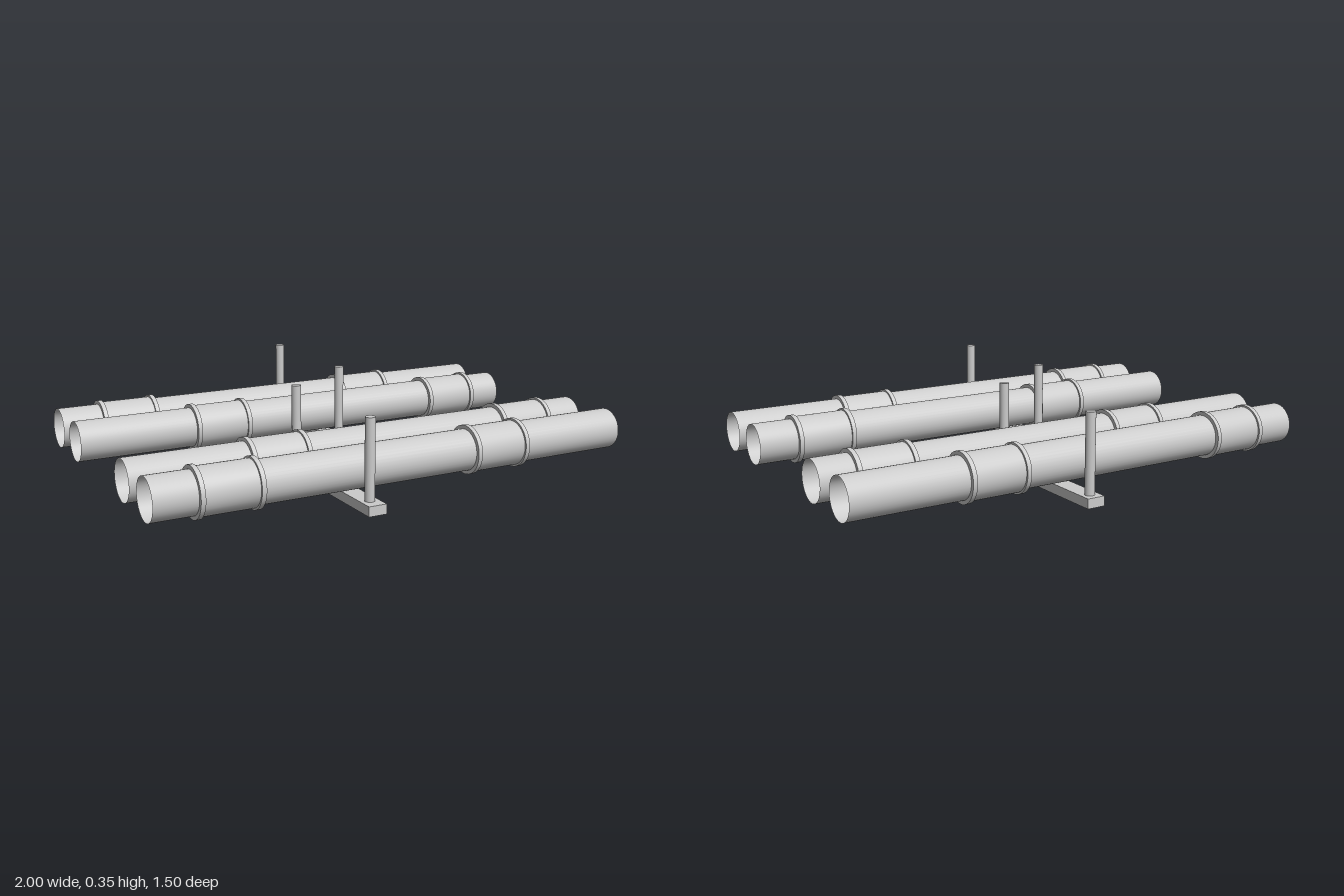
import * as THREE from 'three';
import { toCreasedNormals } from 'three/addons/utils/BufferGeometryUtils.js';

const grey = new THREE.MeshStandardMaterial({ color: 0xcccccc });
const greyThin = new THREE.MeshStandardMaterial({ color: 0xcccccc, side: THREE.DoubleSide });

const PIPE_R = 0.0815, BODY_R = 0.089, RIM_R = 0.0965;
const PIPE_Y = 0.122, SLEEVE_LEN = 0.242, RIM_W = 0.018;

function addMesh(parent, name, geometry, material, x, y, z) {
  const mesh = new THREE.Mesh(geometry, material);
  mesh.name = name;
  mesh.position.set(x, y, z);
  parent.add(mesh);
  return mesh;
}

// Coupling sleeve: a plain body with a raised rim at each end, along x
function sleeveGeometry() {
  const h = SLEEVE_LEN / 2, i = h - RIM_W;
  const profile = [
    [PIPE_R, -h], [RIM_R, -h], [RIM_R, -i], [BODY_R, -i],
    [BODY_R, i], [RIM_R, i], [RIM_R, h], [PIPE_R, h],
  ].map(([r, y]) => new THREE.Vector2(r, y));
  return toCreasedNormals(new THREE.LatheGeometry(profile, 40), 0.6).rotateZ(Math.PI / 2);
}

export function createModel() {
  const model = new THREE.Group();
  model.name = 'pipeRacks';

  // Open thin-walled pipe along x
  const pipeGeo = new THREE.CylinderGeometry(PIPE_R, PIPE_R, 2, 40, 1, true).rotateZ(Math.PI / 2);
  const sleeveGeo = sleeveGeometry();
  const beamGeo = new THREE.BoxGeometry(0.072, 0.038, 0.68);
  const postGeo = new THREE.CylinderGeometry(0.019, 0.019, 0.317, 24);

  // Each rack: beam, two posts and two pipes with two sleeves each
  const racks = [
    {
      name: 'frontRack', x: -0.217, z: 0.412, posts: [0.693, 0.115],
      pipes: [{ z: 0.545, sleeves: [-0.714, 0.414] }, { z: 0.304, sleeves: [-0.408, 0.72] }],
    },
    {
      name: 'backRack', x: 0.11, z: -0.412, posts: [-0.132, -0.711],
      pipes: [{ z: -0.282, sleeves: [-0.392, 0.737] }, { z: -0.524, sleeves: [-0.709, 0.419] }],
    },
  ];

  for (const r of racks) {
    const rack = new THREE.Group();
    rack.name = r.name;
    addMesh(rack, 'beam', beamGeo, grey, r.x, 0.019, r.z);
    for (const z of r.posts) addMesh(rack, 'post', postGeo, grey, r.x, 0.1885, z);
    for (const p of r.pipes) {
      addMesh(rack, 'pipe', pipeGeo, greyThin, 0, PIPE_Y, p.z);
      for (const x of p.sleeves) addMesh(rack, 'sleeve', sleeveGeo, greyThin, x, PIPE_Y, p.z);
    }
    model.add(rack);
  }
  return model;
}
